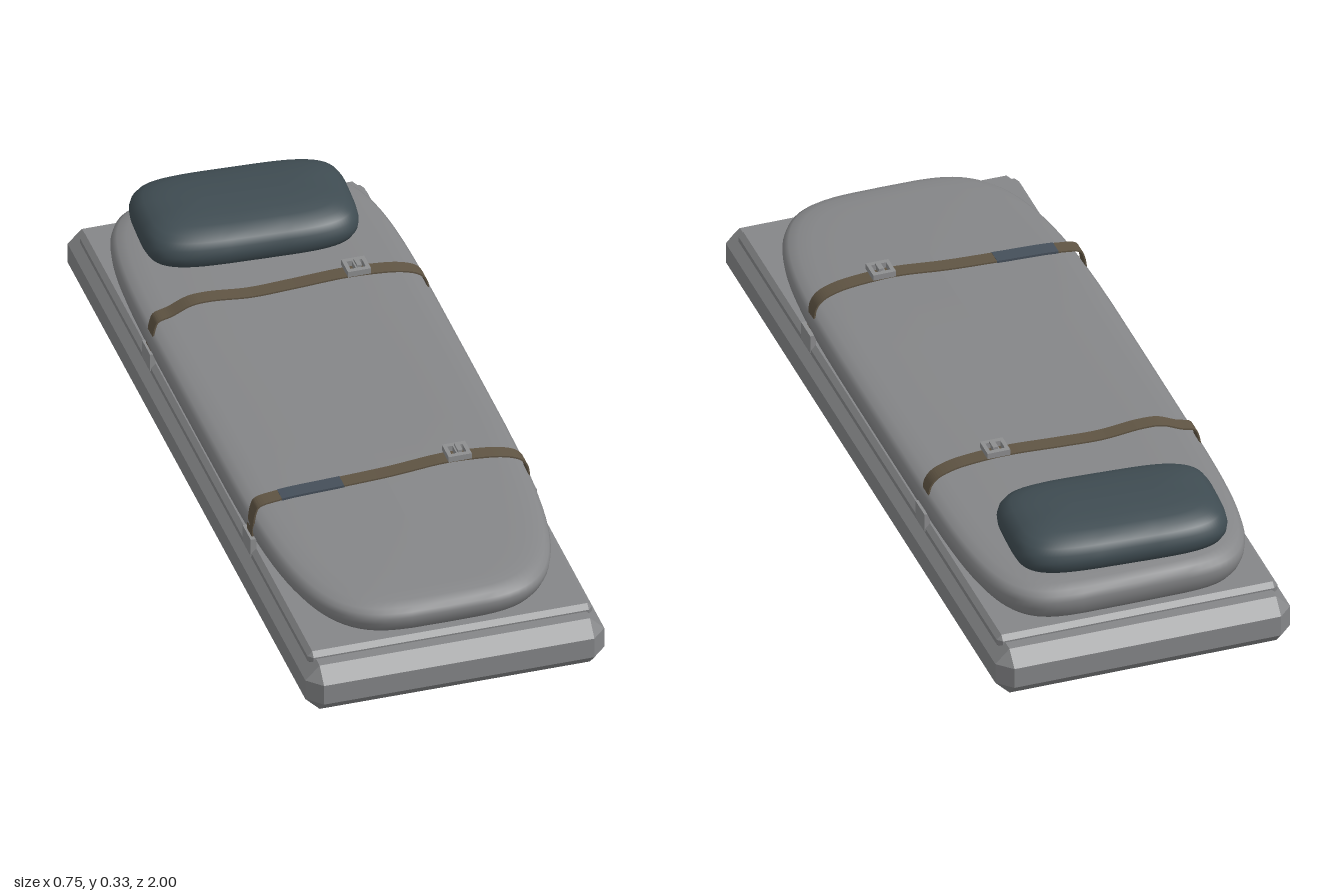
import * as THREE from 'three';
import { ConvexGeometry } from 'three/addons/geometries/ConvexGeometry.js';

const mat = (name, color, side = THREE.FrontSide) => {
  const m = new THREE.MeshStandardMaterial({ color, side });
  m.name = name;
  return m;
};

// Box with 45 degree chamfers on every edge, spanning y0 to y1
function chamferBox(hx, hz, y0, y1, c) {
  const hy = (y1 - y0) / 2, pts = [];
  for (const sx of [-1, 1]) for (const sy of [-1, 1]) for (const sz of [-1, 1])
    for (const [a, b, d] of [[0, c, c], [c, 0, c], [c, c, 0]])
      pts.push(new THREE.Vector3(sx * (hx - a), (y0 + y1) / 2 + sy * (hy - b), sz * (hz - d)));
  return new ConvexGeometry(pts);
}

// Soft cushion: stacked superellipse rings; profile rows are [inset, y]
function cushion(a, b, nFront, nBack, profile, adjustY = (y) => y) {
  const N = 96, pos = [], idx = [];
  const pow = (v, n) => Math.sign(v) * Math.abs(v) ** (2 / n);
  for (const [inset, y] of profile)
    for (let j = 0; j < N; j++) {
      const t = (j / N) * Math.PI * 2, s = Math.sin(t);
      const n = s > 0 ? nFront : nBack;
      const z = (b - inset) * pow(s, n);
      pos.push(Math.max(0, a - inset) * pow(Math.cos(t), n), adjustY(y, z), z);
    }
  for (let i = 0; i < profile.length - 1; i++)
    for (let j = 0; j < N; j++) {
      const k = (j + 1) % N, p = i * N + j, q = i * N + k;
      idx.push(p, p + N, q, q, p + N, q + N);
    }
  const g = new THREE.BufferGeometry();
  g.setAttribute('position', new THREE.Float32BufferAttribute(pos, 3));
  g.setIndex(idx);
  g.computeVertexNormals();
  return g;
}

// Flat webbing following points in the xy plane, between two x limits
function ribbon(path, width, thick, x0 = -1, x1 = 1) {
  const curve = new THREE.CatmullRomCurve3(path.map(([x, y]) => new THREE.Vector3(x, y, 0)), false, 'centripetal');
  const top = [], bottom = [];
  for (let i = 0; i <= 100; i++) {
    const p = curve.getPoint(i / 100), t = curve.getTangent(i / 100);
    if (p.x < x0 || p.x > x1) continue;
    top.push(new THREE.Vector2(p.x - t.y * thick / 2, p.y + t.x * thick / 2));
    bottom.unshift(new THREE.Vector2(p.x + t.y * thick / 2, p.y - t.x * thick / 2));
  }
  const g = new THREE.ExtrudeGeometry(new THREE.Shape([...top, ...bottom]), { depth: width, bevelEnabled: false });
  return g.translate(0, 0, -width / 2);
}

export function createModel() {
  const model = new THREE.Group();
  model.name = 'paddedBed';
  const grey = mat('grey padding', 0x858688);
  const slate = mat('dark slate fabric', 0x3f4c52);
  const brown = mat('brown webbing', 0x5f5443);
  const blue = mat('blue grey patch', 0x454f5a);
  const metal = mat('light grey metal', 0x8d8e90);

  const add = (name, geo, material, parent = model) => {
    const mesh = new THREE.Mesh(geo, material);
    mesh.name = name;
    parent.add(mesh);
    return mesh;
  };

  // Base slab and the thinner deck on top
  add('base', chamferBox(0.375, 1, 0, 0.126, 0.036), grey);
  add('deck', chamferBox(0.357, 0.935, 0.105, 0.142, 0.012), grey);

  // Mattress, slightly lower towards the foot
  add('mattress', cushion(0.356, 0.918, 4, 5.6, [
    [0.356, 0.139], [0.02, 0.139], [0.009, 0.155], [0.002, 0.175], [0, 0.193], [0.004, 0.208],
    [0.014, 0.218], [0.035, 0.226], [0.07, 0.23], [0.14, 0.233], [0.24, 0.235], [0.356, 0.236],
  ], (y, z) => y - 0.012 * THREE.MathUtils.smoothstep(z, 0.2, 0.9) * THREE.MathUtils.smoothstep(y, 0.14, 0.23)), grey);

  // Pillow, turned a little
  const pillow = add('pillow', cushion(0.267, 0.163, 4.2, 4.2, [
    [0.163, 0.229], [0.03, 0.229], [0.01, 0.237], [0.002, 0.252], [0, 0.268], [0.004, 0.286],
    [0.014, 0.302], [0.03, 0.314], [0.055, 0.323], [0.09, 0.329], [0.13, 0.332], [0.163, 0.333],
  ]), slate);
  pillow.position.set(-0.01, 0, -0.716);
  pillow.rotation.y = -0.055;

  // Buckle frame with two slots
  const frame = new THREE.Shape([[-0.029, -0.028], [0.029, -0.028], [0.029, 0.028], [-0.029, 0.028]]
    .map(([x, y]) => new THREE.Vector2(x, y)));
  for (const s of [-1, 1]) {
    const xs = [0.006 * s, 0.019 * s];
    frame.holes.push(new THREE.Path([[xs[0], -0.016], [xs[1], -0.016], [xs[1], 0.016], [xs[0], 0.016]]
      .map(([x, y]) => new THREE.Vector2(x, y))));
  }
  const buckleGeo = new THREE.ExtrudeGeometry(frame, { depth: 0.015, bevelEnabled: false }).rotateX(-Math.PI / 2);

  // Two straps with side clips and a buckle each
  const rightEnd = [[0.13, 0.286], [0.2, 0.284], [0.28, 0.274], [0.322, 0.257], [0.339, 0.235], [0.344, 0.2], [0.347, 0.155]];
  const leftEnd = [[-0.352, 0.155], [-0.348, 0.2], [-0.342, 0.235], [-0.334, 0.251]];
  const straps = [
    { name: 'footStrap', z: 0.437, mid: [[-0.28, 0.262], [-0.13, 0.269], [0, 0.275]], patch: true },
    { name: 'headStrap', z: -0.38, mid: [[-0.3, 0.262], [-0.25, 0.283], [-0.2, 0.286], [-0.1, 0.277], [0, 0.28]] },
  ];
  for (const { name, z, mid, patch } of straps) {
    const strap = new THREE.Group();
    strap.name = name;
    strap.position.z = z;
    model.add(strap);
    const path = [...leftEnd, ...mid, ...rightEnd];
    add('webbing', ribbon(path, 0.04, 0.004), brown, strap);
    if (patch) add('strapPatch', ribbon(path, 0.041, 0.006, -0.28, -0.11), blue, strap);
    add('buckle', buckleGeo, metal, strap).position.set(0.168, 0.291, 0);
    add('buckleBar', new THREE.BoxGeometry(0.012, 0.006, 0.03), metal, strap).position.set(0.172, 0.309, 0);
    for (const s of [-1, 1])
      add(s > 0 ? 'leftClip' : 'rightClip', new THREE.BoxGeometry(0.014, 0.048, 0.065), metal, strap)
        .position.set(0.352 * s, 0.146, 0);
  }
  return model;
}
